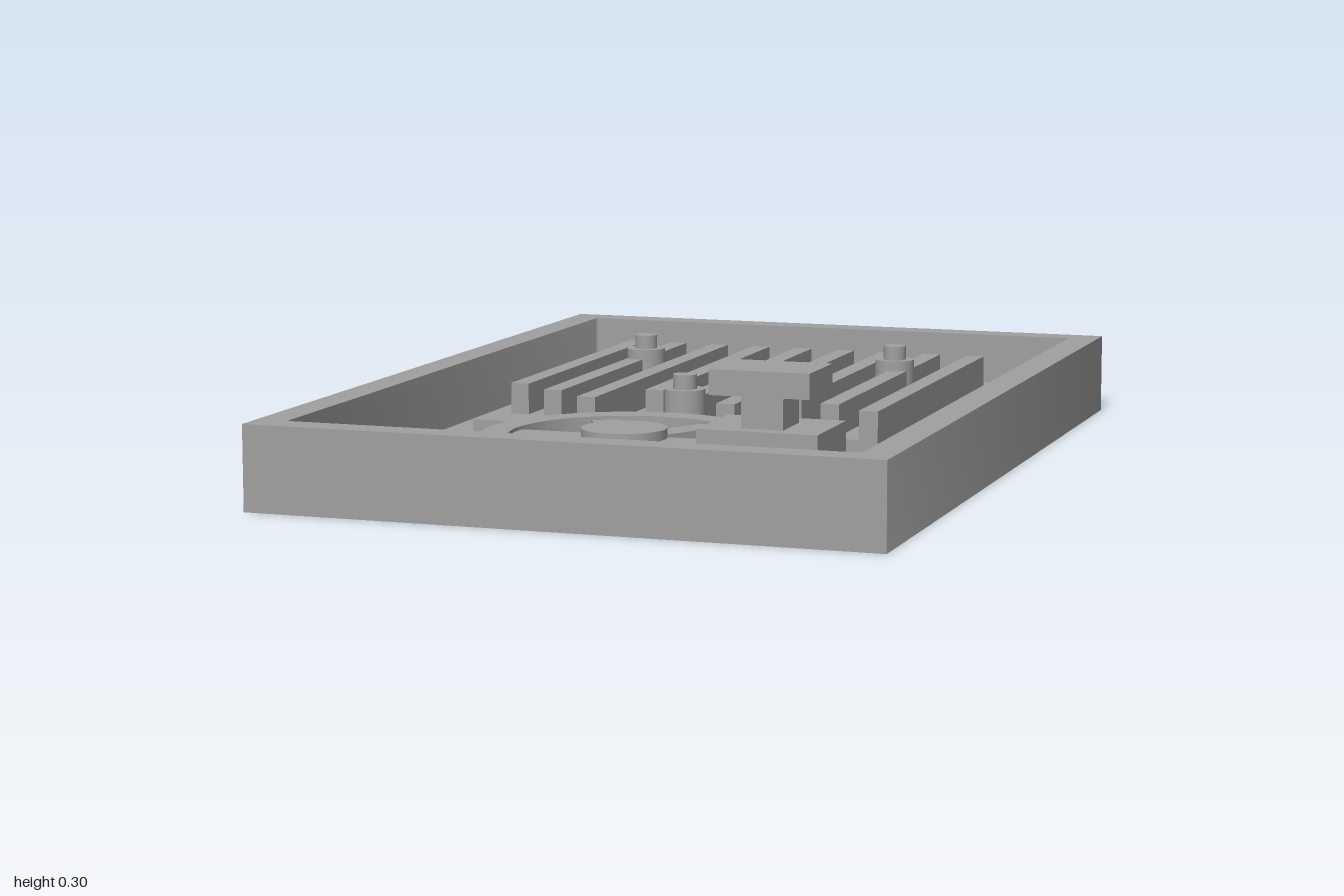
import * as THREE from 'three';
import { toCreasedNormals } from 'three/addons/utils/BufferGeometryUtils.js';

const FLOOR = 0.045, PLATE = 0.09, RIM = 0.19;
const POSTS = [[-0.32, -0.44], [0.32, -0.44], [0, 0.185]];
const PIN_R = 0.027;

// Rectangle centred on the origin with rounded corners
function roundedRect(target, hw, hd, r) {
  target.moveTo(-hw + r, -hd);
  target.lineTo(hw - r, -hd);
  target.quadraticCurveTo(hw, -hd, hw, -hd + r);
  target.lineTo(hw, hd - r);
  target.quadraticCurveTo(hw, hd, hw - r, hd);
  target.lineTo(-hw + r, hd);
  target.quadraticCurveTo(-hw, hd, -hw, hd - r);
  target.lineTo(-hw, -hd + r);
  target.quadraticCurveTo(-hw, -hd, -hw + r, -hd);
  return target;
}

// Extrude a plan shape (x, -z) upwards from y0 to y1
function slab(shape, y0, y1, segments = 24) {
  const g = new THREE.ExtrudeGeometry(shape, { depth: y1 - y0, bevelEnabled: false, curveSegments: segments });
  g.rotateX(-Math.PI / 2);
  g.translate(0, y0, 0);
  return toCreasedNormals(g, 0.6);
}

function circle(Type, x, y, r) {
  const c = new Type();
  c.absarc(x, y, r, 0, Math.PI * 2, false);
  return c;
}

export function createModel() {
  const model = new THREE.Group();
  const grey = new THREE.MeshStandardMaterial({ color: 0xa0a0a0 });
  grey.name = 'grey';

  function add(name, geometry, parent = model) {
    const m = new THREE.Mesh(geometry, grey);
    m.name = name;
    parent.add(m);
    return m;
  }
  // Box given by its limits
  function box(name, x0, x1, y0, y1, z0, z1, parent) {
    const g = new THREE.BoxGeometry(x1 - x0, y1 - y0, z1 - z0);
    g.translate((x0 + x1) / 2, (y0 + y1) / 2, (z0 + z1) / 2);
    return add(name, g, parent);
  }
  function cylinder(name, x, z, r, y0, y1, parent) {
    const g = new THREE.CylinderGeometry(r, r, y1 - y0, 32);
    g.translate(x, (y0 + y1) / 2, z);
    return add(name, g, parent);
  }

  // Tray: surrounding wall and a floor with pin holes
  const wall = roundedRect(new THREE.Shape(), 0.71, 1, 0.001);
  wall.holes.push(roundedRect(new THREE.Path(), 0.638, 0.93, 0.01));
  add('trayWall', slab(wall, 0, RIM, 4));
  const floor = roundedRect(new THREE.Shape(), 0.638, 0.93, 0.01);
  for (const [x, z] of POSTS) floor.holes.push(circle(THREE.Path, x, -z, PIN_R));
  add('trayFloor', slab(floor, 0, FLOOR));

  // Raised plate carrying nine slats of three repeating lengths
  box('raisedPlate', -0.522, 0.522, FLOOR, PLATE, -0.78, 0.19);
  const slats = new THREE.Group();
  slats.name = 'slats';
  model.add(slats);
  for (let i = 0; i < 9; i++) {
    const x = (i - 4) * 0.112;
    box('slat', x - 0.022, x + 0.022, PLATE, 0.163, -0.725, [0.08, 0.155, 0.23][i % 3], slats);
  }

  // Posts with a thinner pin on top
  for (const [x, z] of POSTS) {
    const post = new THREE.Group();
    post.name = 'post';
    model.add(post);
    cylinder('postBody', x, z, 0.047, FLOOR, 0.187, post);
    cylinder('postPin', x, z, PIN_R, 0.187, 0.22, post);
  }

  // Spoked wheel
  const wheel = new THREE.Group();
  wheel.name = 'wheel';
  wheel.position.set(0, 0, 0.585);
  model.add(wheel);
  const ring = circle(THREE.Shape, 0, 0, 0.315);
  ring.holes.push(circle(THREE.Path, 0, 0, 0.253));
  add('wheelRim', slab(ring, FLOOR, 0.143, 32), wheel);
  cylinder('wheelHub', 0, 0, 0.094, FLOOR, 0.157, wheel);
  for (let i = 0; i < 6; i++) {
    const spoke = box('wheelSpoke', 0.07, 0.26, FLOOR, 0.135, -0.032, 0.032, wheel);
    spoke.rotation.y = i * Math.PI / 3;
  }

  // Block with a neck and cap beside the wheel
  const block = new THREE.Group();
  block.name = 'cappedBlock';
  model.add(block);
  box('blockBase', 0.192, 0.462, FLOOR, 0.175, 0.45, 0.662, block);
  box('blockNeck', 0.28, 0.374, 0.175, 0.246, 0.511, 0.624, block);
  box('blockCap', 0.213, 0.438, 0.246, 0.302, 0.475, 0.642, block);

  return model;
}
